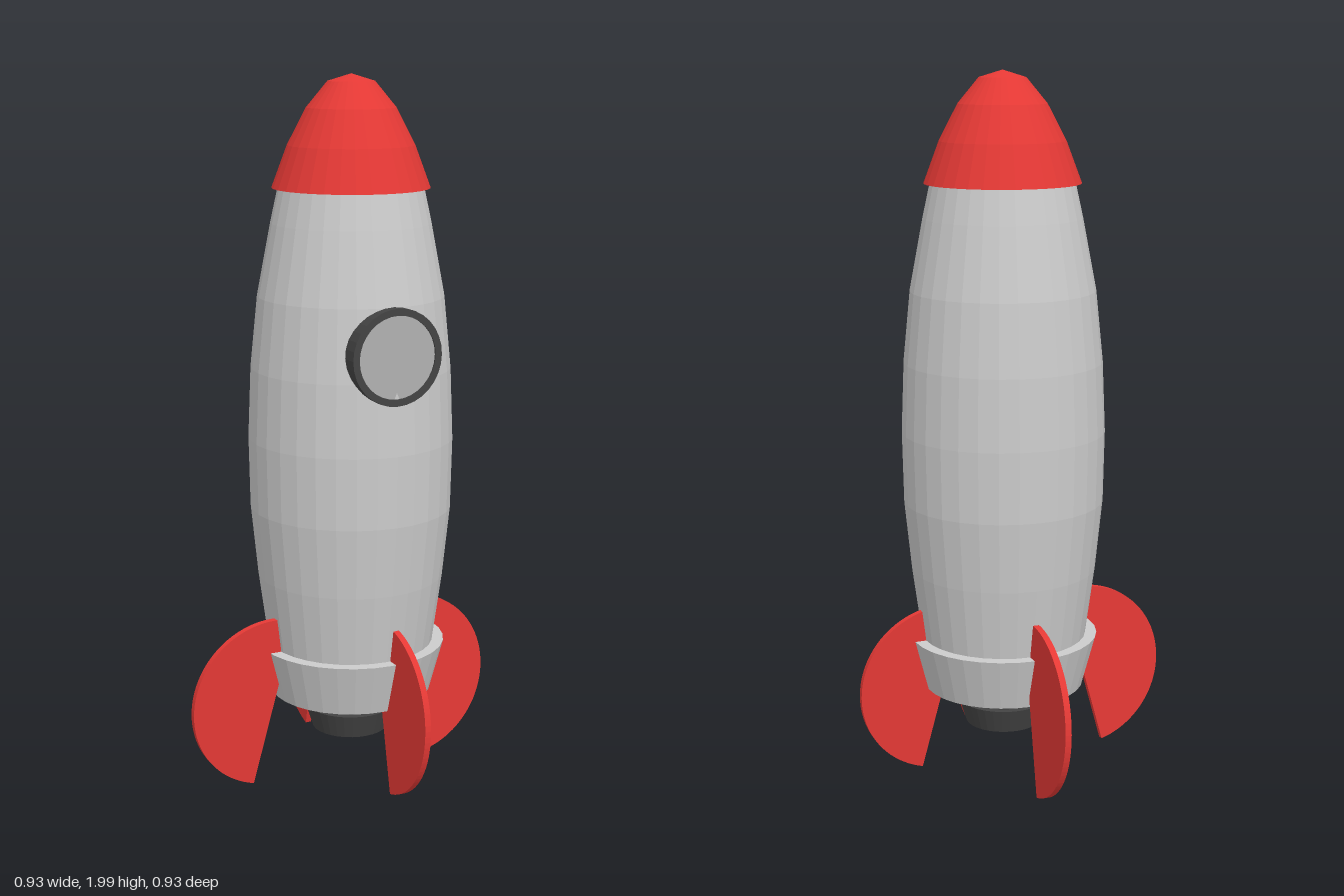
import * as THREE from 'three';

const paint = (color) => new THREE.MeshStandardMaterial({ color, flatShading: true });

// Solid of revolution from [radius, height] pairs, listed bottom to top
function turned(name, profile, material, segments = 32) {
  const points = profile.map(([r, y]) => new THREE.Vector2(r, y));
  const mesh = new THREE.Mesh(new THREE.LatheGeometry(points, segments), material);
  mesh.name = name;
  return mesh;
}

export function createModel() {
  const grey = paint(0xcccccc);
  const red = paint(0xe53935);
  const dark = paint(0x444444);
  const glass = paint(0xb0b0b0);

  const model = new THREE.Group();
  model.name = 'rocket';

  // Hull: everything turned about the rocket's axis
  const hull = new THREE.Group();
  hull.name = 'hull';
  hull.position.set(0.035, 0, 0.025);
  model.add(hull);

  hull.add(turned('body', [
    [0, 0.27], [0.205, 0.27], [0.237, 0.4], [0.264, 0.6], [0.284, 0.8], [0.288, 1.0],
    [0.28, 1.2], [0.26, 1.4], [0.222, 1.6], [0.198, 1.71], [0, 1.71],
  ], grey));

  hull.add(turned('noseCone', [
    [0, 1.695], [0.218, 1.695], [0.175, 1.81], [0.123, 1.91], [0.065, 1.98], [0, 2],
  ], red));

  hull.add(turned('baseBand', [
    [0.205, 0.25], [0.23, 0.25], [0.27, 0.4], [0.235, 0.4], [0.205, 0.25],
  ], grey));

  hull.add(turned('nozzle', [
    [0, 0.19], [0.08, 0.19], [0.09, 0.13], [0.11, 0.13], [0.132, 0.2],
    [0.112, 0.2], [0.122, 0.25], [0.122, 0.28], [0, 0.28],
  ], dark));

  // Porthole on the front of the hull
  const porthole = new THREE.Group();
  porthole.name = 'porthole';
  porthole.position.set(0, 1.27, 0);
  porthole.rotation.x = Math.PI / 2;
  porthole.add(turned('portholeFrame', [
    [0.132, 0.18], [0.132, 0.286], [0.113, 0.286], [0.113, 0.18],
  ], dark));
  porthole.add(turned('portholeGlass', [[0.113, 0.18], [0.113, 0.281], [0, 0.281]], glass));
  hull.add(porthole);

  // Fins: thin half discs, slightly twisted and canted
  const thickness = 0.018;
  const halfDisc = new THREE.Shape();
  halfDisc.absarc(0, 0, 0.247, -Math.PI * 5 / 12, Math.PI * 7 / 12, false);
  halfDisc.closePath();
  const finGeometry = new THREE.ExtrudeGeometry(halfDisc, {
    depth: thickness, bevelEnabled: false, curveSegments: 24,
  });
  finGeometry.translate(0.22, 0.25, -thickness / 2);

  ['leftFin', 'backFin', 'rightFin', 'frontFin'].forEach((name, i) => {
    const fin = new THREE.Mesh(finGeometry, red);
    fin.name = name;
    const sideways = i % 2 === 0;
    fin.position.set(sideways ? 0 : 0.043, 0, sideways ? 0.042 : 0);
    fin.rotation.order = 'YXZ';
    fin.rotation.y = i * Math.PI / 2 + 0.025;
    // Cant about the fin's own radial axis, pivoting at its mid height
    finCant(fin, -0.027, 0.25);
    model.add(fin);
  });

  return model;
}

// Tilts a fin about its radial axis while keeping the given height in place
function finCant(fin, angle, height) {
  fin.rotation.x = angle;
  const pivot = new THREE.Vector3(0, height, 0);
  const moved = pivot.clone().applyEuler(fin.rotation);
  fin.position.add(pivot.sub(moved));
}
